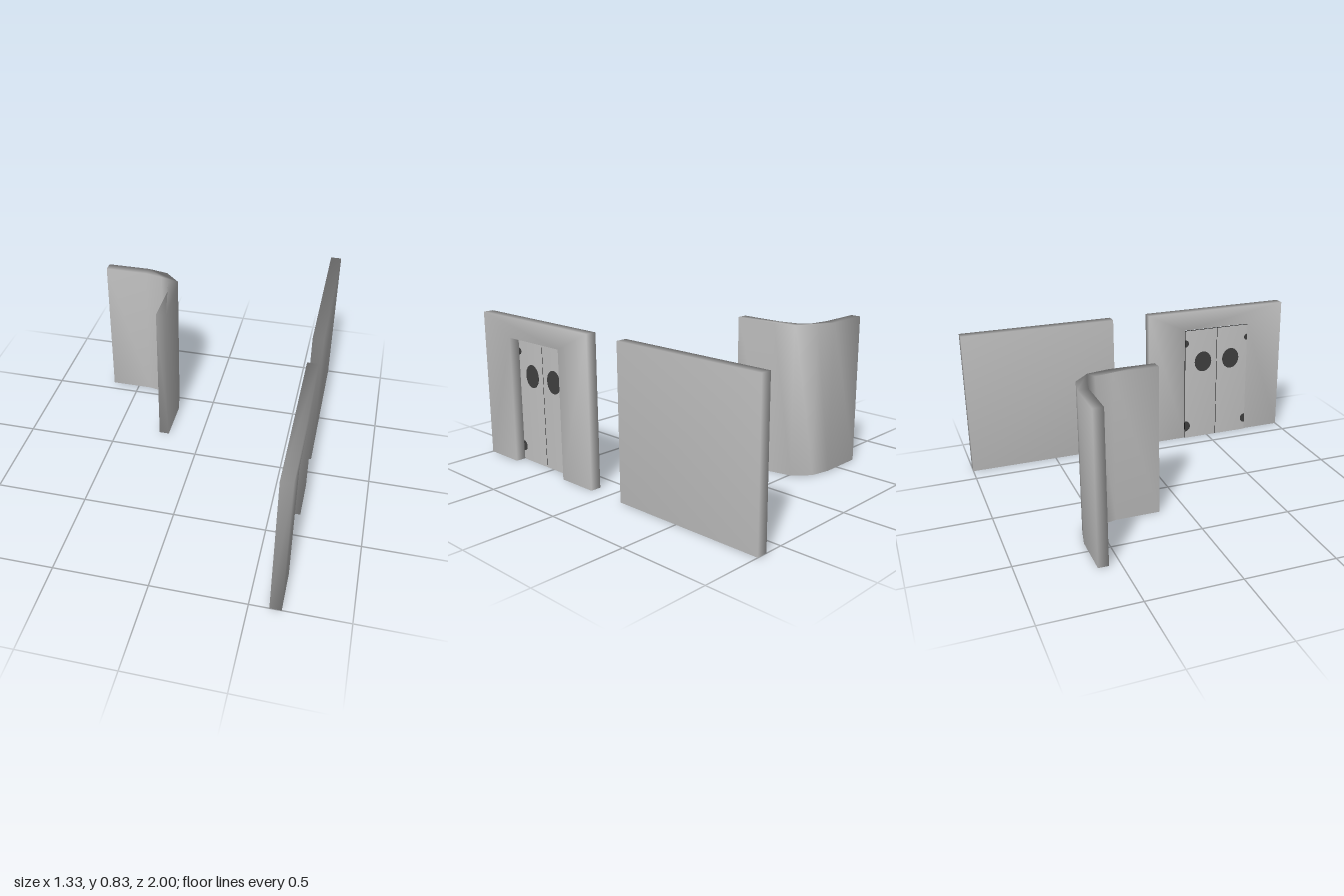
import * as THREE from 'three';
import { mergeVertices } from 'three/addons/utils/BufferGeometryUtils.js';

const HEIGHT = 0.83;

function material(name, color, side = THREE.FrontSide) {
  const m = new THREE.MeshStandardMaterial({ color, side });
  m.name = name;
  return m;
}

// Share corner vertices so that shading flows around every edge
function smooth(geometry) {
  geometry.deleteAttribute('normal');
  geometry.deleteAttribute('uv');
  const merged = mergeVertices(geometry, 1e-4);
  merged.computeVertexNormals();
  return merged;
}

function outline(points) {
  return new THREE.Shape(points.map(([x, y]) => new THREE.Vector2(x, y)));
}

export function createModel() {
  const model = new THREE.Group();
  const wall = material('wallGrey', 0xc0c0c0);
  const panel = material('doorGrey', 0xc4c4c4);
  const rim = material('rimBlack', 0x1a1a1a);
  const dark = material('windowDark', 0x404040, THREE.DoubleSide);

  function add(name, geometry, mat, parent = model) {
    const mesh = new THREE.Mesh(geometry, mat);
    mesh.name = name;
    parent.add(mesh);
    return mesh;
  }

  // Plain straight wall
  const straight = smooth(new THREE.BoxGeometry(0.06, HEIGHT, 0.888));
  straight.translate(0.632, HEIGHT / 2, -0.556);
  add('straightWall', straight, wall);

  // Curved corner wall, plan outline as [x, -z]
  const corner = new THREE.ExtrudeGeometry(outline([
    [-0.663, 0.56], [-0.425, 0.56], [-0.325, 0.54], [-0.272, 0.485], [-0.251, 0.39], [-0.251, 0.145],
    [-0.195, 0.145], [-0.195, 0.39], [-0.22, 0.51], [-0.305, 0.592], [-0.42, 0.616], [-0.663, 0.616],
  ]), { depth: HEIGHT, bevelEnabled: false });
  corner.rotateX(-Math.PI / 2);
  add('cornerWall', smooth(corner), wall);

  // Wall with a doorway, outline as [z, y]
  const doorway = new THREE.ExtrudeGeometry(outline([
    [0.112, 0], [0.345, 0], [0.345, 0.715], [0.765, 0.715],
    [0.765, 0], [1, 0], [1, HEIGHT], [0.112, HEIGHT],
  ]), { depth: 0.06, bevelEnabled: false });
  doorway.rotateY(-Math.PI / 2);
  doorway.translate(0.662, 0, 0);
  add('doorWall', smooth(doorway), wall);

  // Pair of door leaves with black rims
  const door = new THREE.Group();
  door.name = 'door';
  model.add(door);
  for (const [name, z0, z1] of [['rightDoorLeaf', 0.346, 0.556], ['leftDoorLeaf', 0.559, 0.764]]) {
    const leaf = smooth(new THREE.BoxGeometry(0.01, 0.713, z1 - z0));
    leaf.translate(0.6, 0.3565, (z0 + z1) / 2);
    add(name, leaf, [panel, panel, rim, rim, rim, rim], door);
  }

  // Dark discs set through the leaves: whole windows and half discs at the outer edges
  function disc(name, z, y, rz, ry, start = 0, length = Math.PI * 2) {
    const g = new THREE.CylinderGeometry(1, 1, 0.013, 24, 1, false, start, length);
    g.rotateZ(Math.PI / 2);
    g.scale(1, ry, rz);
    g.translate(0.6, y, z);
    add(name, g, dark, door);
  }
  for (const z of [0.465, 0.652]) disc('doorWindow', z, 0.505, 0.056, 0.065);
  for (const [y, r] of [[0.08, 0.035], [0.632, 0.023]]) {
    disc('rightEdgeSpot', 0.346, y, r, r, -Math.PI / 2, Math.PI);
    disc('leftEdgeSpot', 0.764, y, r * 0.85, r * 0.85, Math.PI / 2, Math.PI);
  }
  return model;
}
